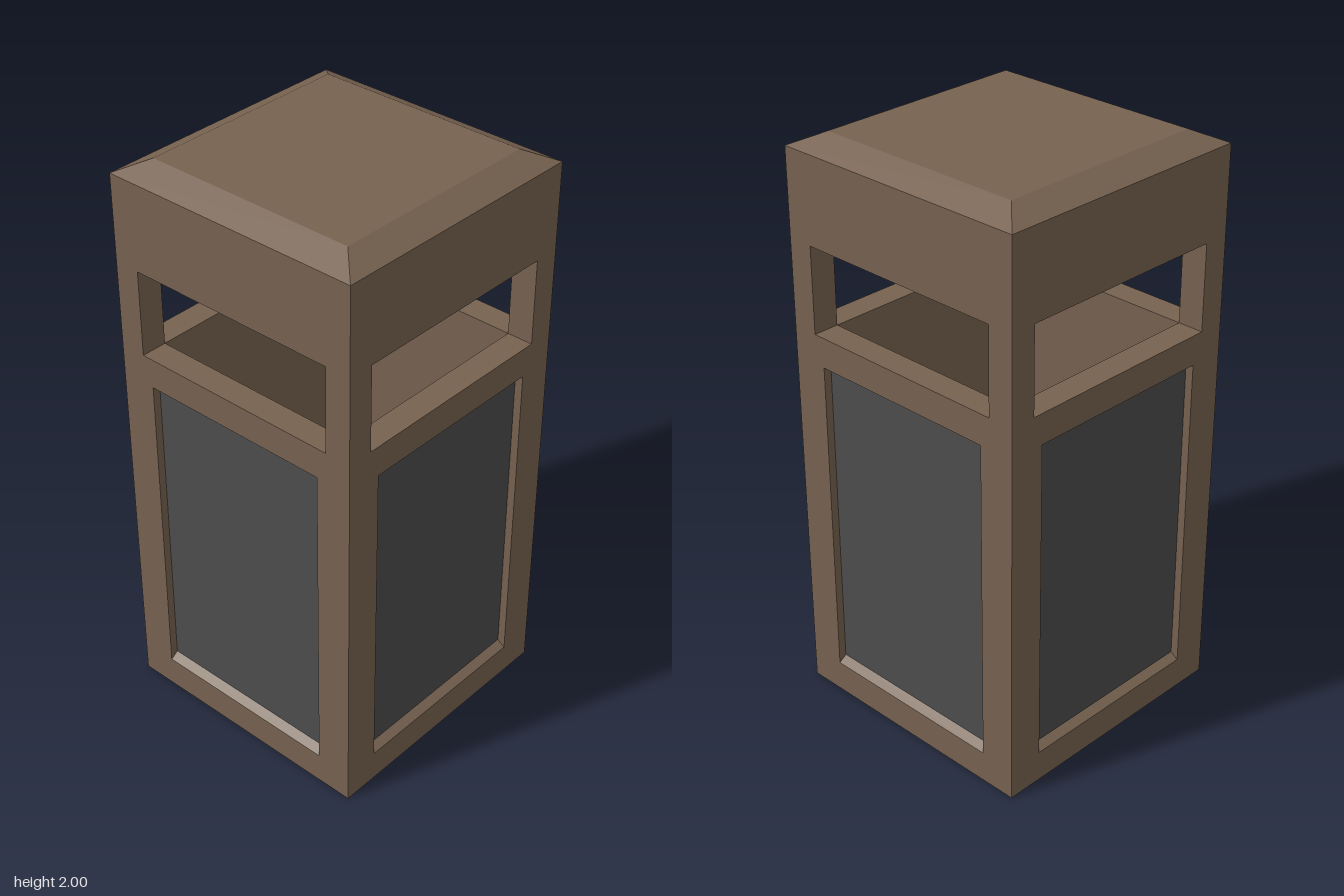
import * as THREE from 'three';

const H = 0.472;      // half width of the bin
const INNER = 0.38;   // half width of the hollow inside
const RECESS = 0.03;  // depth of the panel recess
const WALL_TOP = 1.955;
const SILL = 1.355, LINTEL = 1.655;

const brown = new THREE.MeshStandardMaterial({ color: 0x766250, flatShading: true });
const dark = new THREE.MeshStandardMaterial({ color: 0x4c4c4c, flatShading: true });

function rect(Type, w, y0, y1) {
  return new Type([[-w, y0], [w, y0], [w, y1], [-w, y1]].map(([x, y]) => new THREE.Vector2(x, y)));
}

// One layer of a wall between depths z0 and z1, mitred at the corners
function wallLayer(z0, z1, withPanel) {
  const shape = rect(THREE.Shape, H, 0, WALL_TOP);
  shape.holes.push(rect(THREE.Path, INNER, SILL, LINTEL));
  if (withPanel) shape.holes.push(rect(THREE.Path, 0.345, 0.11, 1.25));
  const geo = new THREE.ExtrudeGeometry(shape, { depth: z1 - z0, bevelEnabled: false });
  geo.translate(0, 0, z0);
  const p = geo.attributes.position;
  for (let i = 0; i < p.count; i++) {
    const x = p.getX(i), y = p.getY(i), z = p.getZ(i);
    if (Math.abs(x) > 0.4) p.setX(i, Math.sign(x) * z);
    // slope the top and bottom of the recess inward
    if (withPanel && z < z1 - 0.01) {
      if (Math.abs(y - 0.11) < 0.005) p.setY(i, 0.13);
      if (Math.abs(y - 1.25) < 0.005) p.setY(i, 1.23);
    }
  }
  geo.computeVertexNormals();
  return geo;
}

function addMesh(parent, name, geo, mat, y = 0, z = 0) {
  const mesh = new THREE.Mesh(geo, mat);
  mesh.name = name;
  mesh.position.set(0, y, z);
  parent.add(mesh);
  return mesh;
}

export function createModel() {
  const bin = new THREE.Group();
  bin.name = 'litterBin';

  // Four equal sides: frame, inner wall and dark recessed panel
  const frameGeo = wallLayer(H - RECESS, H, true);
  const innerGeo = wallLayer(INNER, H - RECESS, false);
  const panelGeo = new THREE.PlaneGeometry(0.69, 1.1);
  ['front', 'left', 'back', 'right'].forEach((name, i) => {
    const side = new THREE.Group();
    side.name = name + 'Side';
    side.rotation.y = i * Math.PI / 2;
    addMesh(side, 'frame', frameGeo, brown);
    addMesh(side, 'innerWall', innerGeo, brown);
    addMesh(side, 'panel', panelGeo, dark, 0.68, H - RECESS + 0.002);
    bin.add(side);
  });

  // Floor and solid top
  const w = INNER * 2;
  addMesh(bin, 'floor', new THREE.BoxGeometry(w, 0.1, w), brown, 0.05);
  addMesh(bin, 'ceiling', new THREE.BoxGeometry(w, WALL_TOP - LINTEL, w), brown, (WALL_TOP + LINTEL) / 2);

  // Chamfered lid
  const lid = new THREE.CylinderGeometry(INNER * Math.SQRT2, H * Math.SQRT2, 2 - WALL_TOP, 4);
  lid.rotateY(Math.PI / 4);
  addMesh(bin, 'lid', lid, brown, (2 + WALL_TOP) / 2);

  return bin;
}
